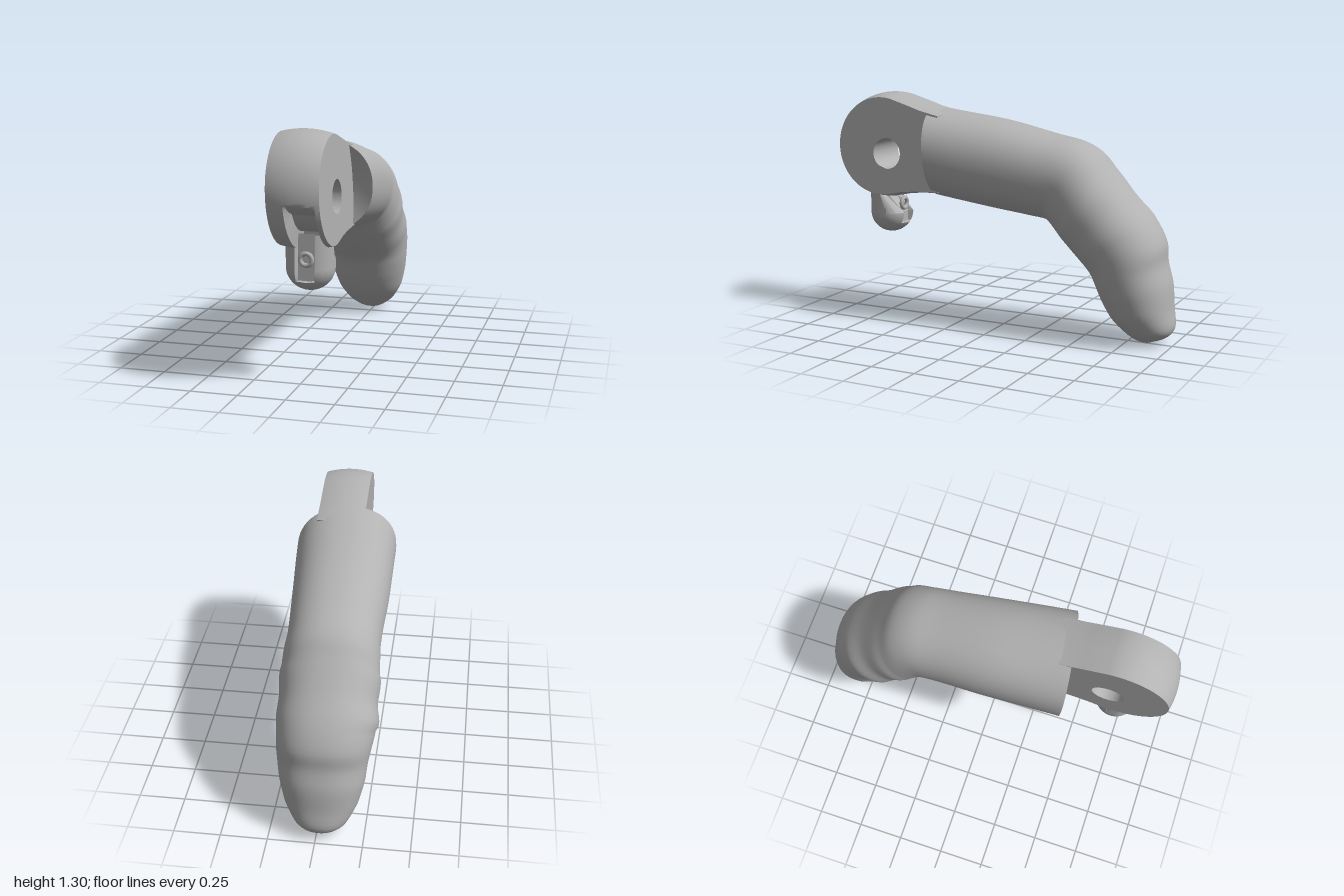
import * as THREE from 'three';
import { toCreasedNormals } from 'three/addons/utils/BufferGeometryUtils.js';

const grey = new THREE.MeshStandardMaterial({ color: 0xb2b2b2 });
grey.name = 'plain grey';

function addPart(group, name, geometry) {
  const mesh = new THREE.Mesh(geometry, grey);
  mesh.name = name;
  group.add(mesh);
  return mesh;
}

// Extrudes a side profile drawn in (z, y) across x; rule(z, y, w) gives the final [x, y, z]
function sidePart(shape, steps, rule) {
  const geo = new THREE.ExtrudeGeometry(shape, { depth: 1, steps, bevelEnabled: false, curveSegments: 48 });
  const p = geo.attributes.position;
  for (let i = 0; i < p.count; i++) p.setXYZ(i, ...rule(p.getX(i), p.getY(i), p.getZ(i)));
  return toCreasedNormals(geo, 0.6);
}

function addHole(shape, z, y, r) {
  const hole = new THREE.Path();
  hole.absarc(z, y, r, 0, Math.PI * 2, true);
  shape.holes.push(hole);
}

// Finger sections: top z, top y, bottom z, bottom y, right edge x, left edge x
const sections = [
  [0.43, 1.225, 0.39, 0.725, -0.28, 0.28],
  [0.25, 1.2, 0.25, 0.705, -0.28, 0.27],
  [0, 1.165, 0, 0.67, -0.28, 0.25],
  [-0.3, 1.1, -0.2, 0.645, -0.27, 0.23],
  [-0.46, 1.065, -0.29, 0.63, -0.27, 0.222],
  [-0.56, 1.01, -0.32, 0.605, -0.275, 0.23],
  [-0.63, 0.93, -0.36, 0.56, -0.28, 0.235],
  [-0.75, 0.79, -0.44, 0.475, -0.28, 0.235],
  [-0.87, 0.66, -0.52, 0.395, -0.28, 0.235],
  [-0.935, 0.54, -0.55, 0.36, -0.265, 0.23],
  [-0.945, 0.44, -0.58, 0.3, -0.25, 0.223],
  [-0.975, 0.33, -0.61, 0.23, -0.24, 0.21],
  [-0.988, 0.2, -0.67, 0.13, -0.21, 0.18],
  [-1.0, 0.09, -0.75, 0.05, -0.155, 0.12],
  [-0.975, 0.05, -0.8, 0.015, -0.1, 0.07],
  [-0.9, 0.015, -0.85, 0.0, -0.03, 0.01],
];

function fingerGeometry() {
  const curve = (f) => new THREE.CatmullRomCurve3(sections.map((s) => new THREE.Vector3(...f(s))));
  const top = curve((s) => [0, s[1], s[0]]);
  const bottom = curve((s) => [0, s[3], s[2]]);
  const width = curve((s) => [s[4], s[5], 0]);
  const N = 56;
  const pos = [], idx = [];
  let rings = 0;
  const power = (v) => Math.sign(v) * Math.abs(v) ** 0.9;
  const ring = (t, scale, recess) => {
    const T = top.getPoint(t), B = bottom.getPoint(t), W = width.getPoint(t);
    const skew = 0.16 * Math.max(0, 1 - t * 8);
    for (let j = 0; j <= N; j++) {
      const a = (j / N) * Math.PI * 2;
      const k = power(Math.sin(a)) * scale;
      const x = (W.x + W.y) / 2 + ((W.y - W.x) / 2) * power(Math.cos(a)) * scale;
      const y = (T.y + B.y) / 2 + ((T.y - B.y) / 2) * k;
      const z = (T.z + B.z) / 2 + ((T.z - B.z) / 2) * k;
      pos.push(x, y, z - skew * x - recess);
    }
    rings++;
  };
  // dished front end, then the body, then the closed tip
  for (const s of [0, 0.35, 0.65, 0.85]) ring(0, s, 0.06 * (1 - s * s));
  for (let i = 0; i <= 75; i++) ring(i / 75, 1, 0);
  ring(1, 0, 0);
  for (let i = 0; i < rings - 1; i++) {
    for (let j = 0; j < N; j++) {
      const a = i * (N + 1) + j, b = a + N + 1;
      idx.push(a, b, a + 1, b, b + 1, a + 1);
    }
  }
  const geo = new THREE.BufferGeometry();
  geo.setAttribute('position', new THREE.Float32BufferAttribute(pos, 3));
  geo.setIndex(idx);
  return toCreasedNormals(geo, 0.7);
}

// Round hinge lug with pin hole, crowned rim and a cord groove at the lower front
function lugGeometry() {
  const cz = 0.7, cy = 1.0, R = 0.3;
  const shape = new THREE.Shape();
  shape.moveTo(0.3, 0.74);
  shape.lineTo(0.45, 0.735);
  shape.lineTo(0.55, 0.725);
  shape.absarc(cz, cy, R, -1.8, 1.8, false);
  shape.lineTo(0.5, 1.253);
  shape.lineTo(0.43, 1.23);
  shape.lineTo(0.3, 1.2);
  addHole(shape, 0.66, 0.96, 0.088);
  return sidePart(shape, 24, (z, y, w) => {
    let x = 0.168 - 0.265 * w;
    let r = Math.hypot(z - cz, y - cy);
    const a = Math.atan2(y - cy, z - cz);
    if (r > 0.2) {
      let n = r * (1 - 3.5 * (x - 0.02) ** 2);
      const inGroove = x > 0 && x < 0.135 && a < -0.12 && a > -1.6;
      if (inGroove) n = Math.min(n, R - 0.09 * Math.min(1, (-0.12 - a) / 0.35));
      z = cz + ((z - cz) * n) / r;
      y = cy + ((y - cy) * n) / r;
    }
    x += (1 - y) * 0.03;
    return [x, y, z];
  });
}

// Domed knob with a cross hole and vertical slots front and back
function knobGeometry() {
  const cz = 0.705, cy = 0.61, R = 0.12;
  const shape = new THREE.Shape();
  shape.moveTo(cz - R, 0.79);
  shape.absarc(cz, cy, R, Math.PI, Math.PI * 2, false);
  shape.lineTo(cz + R, 0.79);
  addHole(shape, 0.702, 0.66, 0.028);
  return sidePart(shape, 36, (z, y, w) => {
    const d = -0.116 * Math.sin((w - 0.5) * Math.PI);
    if (Math.hypot(z - 0.702, y - 0.66) > 0.05) {
      const s = Math.sqrt(R * R - d * d) / R;
      z = cz + (z - cz) * s;
      if (y < cy) y = cy + (y - cy) * s;
      if (Math.abs(d) < 0.048 && y > 0.55) z = THREE.MathUtils.clamp(z, cz - 0.08, cz + 0.08);
    }
    return [0.045 + d * 1.05, y, z];
  });
}

export function createModel() {
  const model = new THREE.Group();
  model.name = 'jointedFinger';
  addPart(model, 'finger', fingerGeometry());
  addPart(model, 'hingeLug', lugGeometry());
  addPart(model, 'cordKnob', knobGeometry());
  // cord eyelets in the knob slots
  for (const side of [1, -1]) {
    const eyelet = addPart(model, side > 0 ? 'frontEyelet' : 'backEyelet', new THREE.TorusGeometry(0.03, 0.012, 10, 28));
    eyelet.position.set(0.045, 0.66, 0.705 + side * 0.082);
  }
  return model;
}
